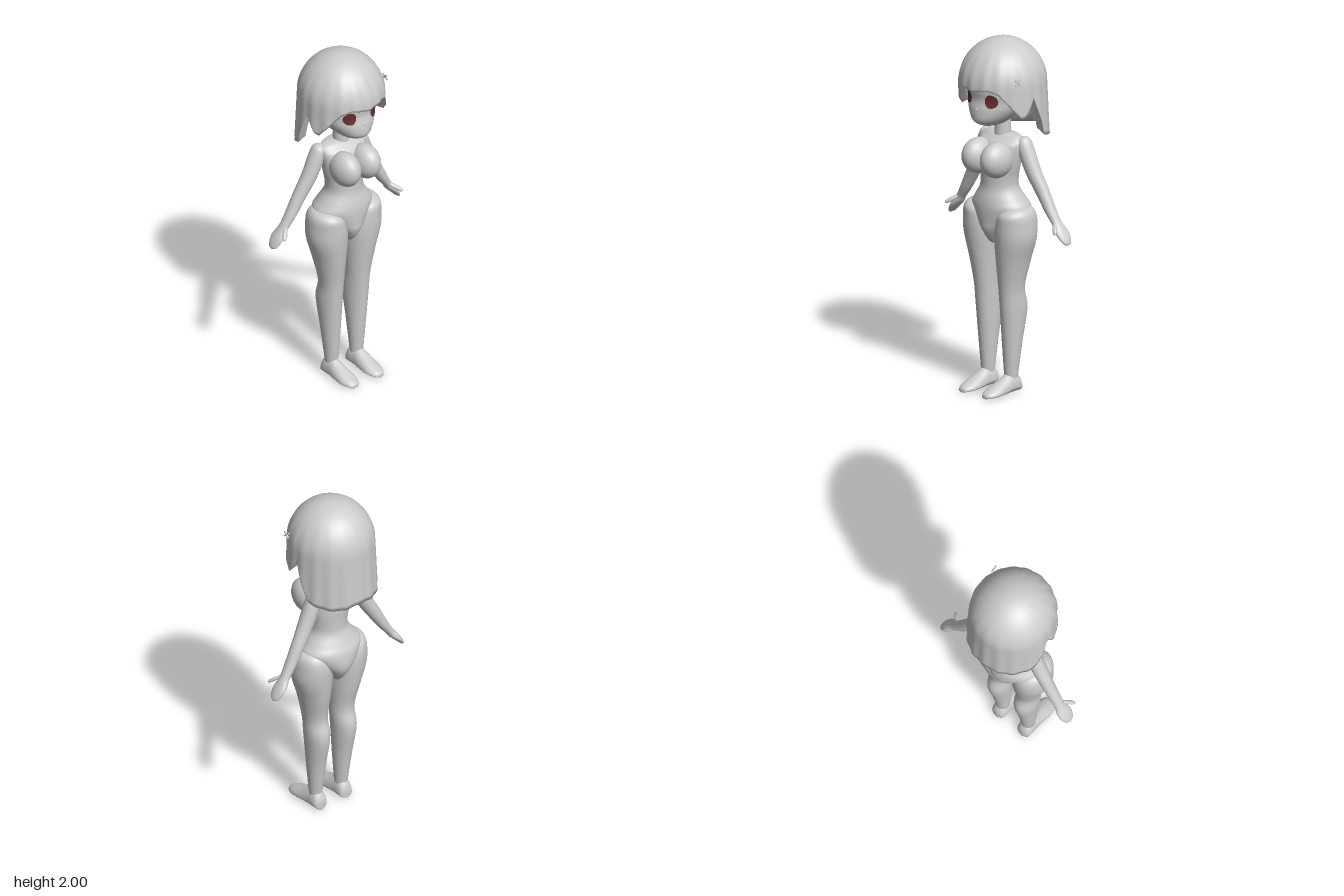
import * as THREE from 'three';
import { mergeVertices } from 'three/addons/utils/BufferGeometryUtils.js';

// Smooth surface from a rule: u runs around, v runs along; side = -1 mirrors it in x
function grid(nu, nv, fn, side = 1) {
  const pos = [], idx = [];
  for (let j = 0; j <= nv; j++) for (let i = 0; i <= nu; i++) {
    const [x, y, z] = fn((i % nu) / nu * Math.PI * 2, j / nv);
    pos.push(x * side, y, z);
  }
  for (let j = 0; j < nv; j++) for (let i = 0; i < nu; i++) {
    const a = j * (nu + 1) + i, b = a + 1, c = a + nu + 1, d = c + 1;
    if (side > 0) idx.push(a, b, d, a, d, c);
    else idx.push(a, d, b, a, c, d);
  }
  let g = new THREE.BufferGeometry();
  g.setAttribute('position', new THREE.Float32BufferAttribute(pos, 3));
  g.setIndex(idx);
  g = mergeVertices(g, 1e-5);
  g.computeVertexNormals();
  return g;
}

// Catmull-Rom interpolation between rows of numbers
function sample(rows, t) {
  const n = rows.length - 1, k = Math.min(Math.floor(t * n), n - 1), f = t * n - k;
  const at = i => rows[Math.max(0, Math.min(n, i))];
  return rows[0].map((_, c) => {
    const p0 = at(k - 1)[c], p1 = at(k)[c], p2 = at(k + 1)[c], p3 = at(k + 2)[c];
    return p1 + 0.5 * f * (p2 - p0 + f * (2 * p0 - 5 * p1 + 4 * p2 - p3 + f * (3 * (p1 - p2) + p3 - p0)));
  });
}

// Upright body part; rows from bottom to top: [y, centre x, half width, front z, back z]
const loft = (rows, side) => grid(36, rows.length * 5, (a, v) => {
  const [y, cx, rx, zf, zb] = sample(rows, v);
  return [cx + rx * Math.sin(a), y, (zf + zb) / 2 + (zf - zb) / 2 * Math.cos(a)];
}, side);

// Slanted limb; rows from tip to root: [x, y, z, radius across, radius in z]
const limb = (rows, side) => grid(24, rows.length * 4, (a, v) => {
  const [x, y, z, r1, r2] = sample(rows, v);
  return [x + 0.87 * r1 * Math.sin(a), y + 0.5 * r1 * Math.sin(a), z + r2 * Math.cos(a)];
}, side);

const TORSO = [
  [0.83, 0, 0, 0.01, 0.01], [0.85, 0, 0.025, 0.09, -0.07], [0.92, 0, 0.08, 0.138, -0.125],
  [0.98, 0, 0.135, 0.145, -0.14], [1.05, 0, 0.182, 0.145, -0.13], [1.1, 0, 0.153, 0.138, -0.105],
  [1.16, 0, 0.115, 0.123, -0.076], [1.22, 0, 0.113, 0.12, -0.072], [1.3, 0, 0.13, 0.12, -0.076],
  [1.4, 0, 0.145, 0.1, -0.075], [1.44, 0, 0.138, 0.06, -0.068], [1.46, 0, 0.1, 0.03, -0.055], [1.465, 0, 0, 0, 0]];
const LEG = [
  [0.07, 0.088, 0.035, 0.06, -0.015], [0.11, 0.088, 0.038, 0.065, -0.017], [0.3, 0.09, 0.053, 0.08, -0.045],
  [0.48, 0.092, 0.065, 0.095, -0.077], [0.6, 0.093, 0.067, 0.105, -0.052], [0.75, 0.103, 0.088, 0.125, -0.08],
  [0.88, 0.116, 0.112, 0.14, -0.1], [0.97, 0.12, 0.109, 0.142, -0.105], [1.03, 0.13, 0.09, 0.135, -0.09],
  [1.06, 0.143, 0.05, 0.09, -0.05], [1.065, 0.145, 0, 0.02, 0.02]];
const ARM = [
  [0.447, 0.895, -0.055, 0, 0], [0.44, 0.903, -0.055, 0.01, 0.025], [0.425, 0.925, -0.055, 0.016, 0.038],
  [0.403, 0.953, -0.055, 0.02, 0.045], [0.38, 0.98, -0.053, 0.023, 0.039], [0.36, 1.01, -0.05, 0.023, 0.031],
  [0.32, 1.07, -0.045, 0.03, 0.034], [0.265, 1.165, -0.04, 0.038, 0.037], [0.205, 1.27, -0.03, 0.043, 0.043],
  [0.15, 1.39, -0.025, 0.045, 0.047], [0.128, 1.435, -0.025, 0.037, 0.038], [0.118, 1.455, -0.025, 0, 0]];
const THUMB = [
  [0.42, 0.963, 0.02, 0, 0], [0.41, 0.972, 0.013, 0.011, 0.011],
  [0.39, 0.99, -0.005, 0.013, 0.014], [0.365, 1.01, -0.03, 0.01, 0.01]];
// Front to back: [z, half width, height]
const FOOT = [[0.232, 0, 0.01], [0.222, 0.03, 0.028], [0.17, 0.052, 0.052], [0.1, 0.05, 0.082],
  [0.05, 0.045, 0.108], [0, 0.044, 0.108], [-0.028, 0.034, 0.07], [-0.037, 0, 0.03]];
const HEAD = [
  [1.52, 0, 0, 0.08, 0.08], [1.528, 0, 0.045, 0.15, 0.01], [1.56, 0, 0.095, 0.203, -0.05],
  [1.62, 0, 0.145, 0.206, -0.11], [1.68, 0, 0.172, 0.192, -0.15], [1.75, 0, 0.185, 0.195, -0.17],
  [1.85, 0, 0.17, 0.17, -0.165], [1.93, 0, 0.09, 0.09, -0.09], [1.95, 0, 0, 0, 0]];

// Front z of the face at (x, y)
function faceZ(x, y) {
  let lo = 0, hi = 1;
  for (let i = 0; i < 24; i++) {
    const m = (lo + hi) / 2;
    if (sample(HEAD, m)[0] < y) lo = m; else hi = m;
  }
  const [, , rx, zf, zb] = sample(HEAD, lo);
  return (zf + zb) / 2 + (zf - zb) / 2 * Math.sqrt(Math.max(0, 1 - (x / rx) ** 2));
}

// Hair hem height by angle in degrees away from the front
const HEM = [[0, 1.742], [25, 1.757], [40, 1.738], [50, 1.69], [70, 1.595], [76, 1.6], [90, 1.695],
  [98, 1.6], [110, 1.475], [125, 1.455], [145, 1.44], [160, 1.445], [180, 1.46]];
function hem(a) {
  const d = Math.acos(Math.cos(a)) * 180 / Math.PI;
  let k = 0;
  while (k < HEM.length - 2 && d > HEM[k + 1][0]) k++;
  const [d0, y0] = HEM[k], [d1, y1] = HEM[k + 1];
  return y0 + (y1 - y0) * (d - d0) / (d1 - d0);
}

// Outer hair shell, turned under at the hem into an inner shell
function hairPoint(a, v) {
  const inner = v < 0.4, s = inner ? v / 0.4 : (1 - v) / 0.6;
  const f = 1 - Math.cos(s * Math.PI / 2);
  const y = 2 - (2 - hem(a)) * f;
  let r = y > 1.75 ? 0.238 * Math.sqrt(Math.max(0, 1 - ((y - 1.75) / 0.25) ** 2)) : 0.238 + (1.75 - y) * 0.04;
  r *= 1 + 0.012 * f * Math.cos(a * 18);
  if (inner) r *= 0.83;
  return [r * Math.sin(a), inner ? y - 0.03 * (1 - f) : y, r * Math.cos(a) * 1.03];
}

export function createModel() {
  const model = new THREE.Group();
  const clay = new THREE.MeshStandardMaterial({ color: 0xcccccc });
  clay.name = 'light grey';
  const iris = new THREE.MeshStandardMaterial({ color: 0x672e2e });
  iris.name = 'dark red';
  const add = (name, geo, mat = clay) => {
    const m = new THREE.Mesh(geo, mat);
    m.name = name;
    model.add(m);
    return m;
  };

  add('torso', loft(TORSO));
  add('head', loft(HEAD));
  add('hair', grid(144, 60, hairPoint));
  add('neck', new THREE.CylinderGeometry(0.043, 0.047, 0.14, 28)).position.set(0, 1.5, 0);
  const nose = add('nose', new THREE.SphereGeometry(0.006, 12, 8));
  nose.position.set(0, 1.633, faceZ(0, 1.633));

  for (const s of [1, -1]) {
    const side = s > 0 ? 'left' : 'right';
    add(side + 'Leg', loft(LEG, s));
    add(side + 'Arm', limb(ARM, s));
    add(side + 'Thumb', limb(THUMB, s));
    // foot with a flattened sole
    add(side + 'Foot', grid(28, 32, (a, v) => {
      const [z, w, h] = sample(FOOT, v), c = Math.cos(a);
      return [0.088 + w * Math.sin(a), 0.004 + h * (0.3 + (c > 0 ? 0.7 : 0.3) * c), z];
    }, s));
    // chest volume
    const chest = add(side + 'Chest', new THREE.SphereGeometry(1, 32, 24));
    chest.scale.set(0.075, 0.1, 0.108);
    chest.position.set(s * 0.07, 1.338, 0.118);
    chest.rotation.x = -0.25;
    // ear
    const ear = add(side + 'Ear', new THREE.SphereGeometry(1, 20, 14));
    ear.scale.set(0.022, 0.04, 0.026);
    ear.position.set(s * 0.175, 1.655, -0.002);
    ear.rotation.x = 0.3;
    // eye laid on the curve of the face
    const eye = new THREE.RingGeometry(0.0001, 1, 24, 4), p = eye.attributes.position;
    for (let i = 0; i < p.count; i++) {
      const x = s * 0.083 + p.getX(i) * 0.033, y = 1.685 + p.getY(i) * 0.038;
      p.setXYZ(i, x, y, faceZ(x, y) + 0.005);
    }
    eye.computeVertexNormals();
    add(side + 'Eye', eye, iris);
  }

  // crossed hairpin on the left
  for (const t of [1, -1]) {
    const pin = add('hairpin', new THREE.BoxGeometry(0.008, 0.046, 0.008));
    pin.position.set(0.222, 1.81, 0.11);
    pin.rotation.set(t * 0.85, 0, 0.1);
  }
  return model;
}
